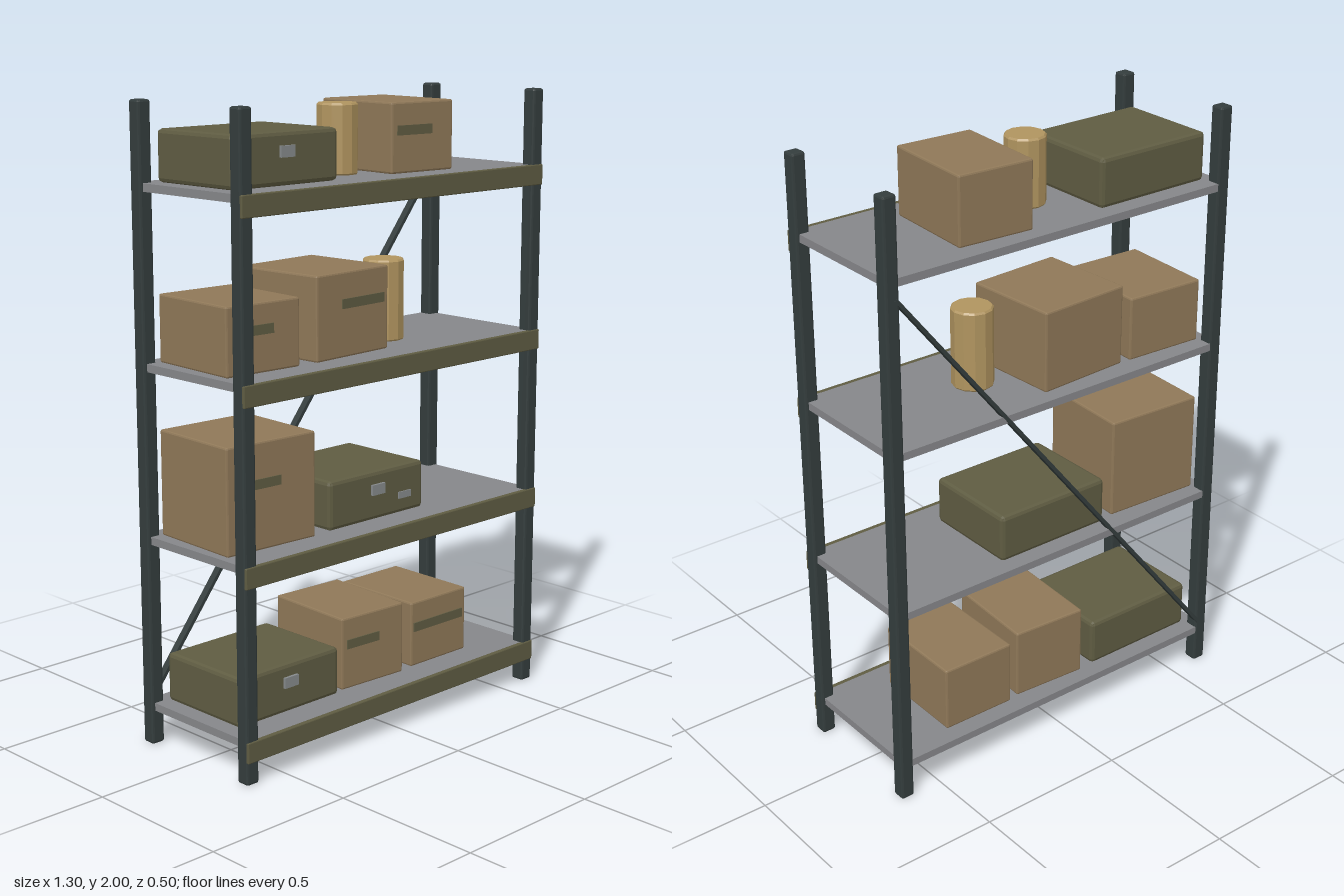
import * as THREE from 'three';
import { RoundedBoxGeometry } from 'three/addons/geometries/RoundedBoxGeometry.js';

const mat = (name, color) => {
  const m = new THREE.MeshStandardMaterial({ color });
  m.name = name;
  return m;
};

export function createModel() {
  const root = new THREE.Group();
  root.name = 'storageRack';

  const steel = mat('dark steel', 0x343d3d);
  const deck = mat('grey decking', 0x86878a);
  const olive = mat('olive paint', 0x5f5c42);
  const card = mat('cardboard', 0x8f7858);
  const tan = mat('tan canister', 0xb0945f);
  const latchGrey = mat('latch grey', 0x868a8c);

  const add = (parent, name, geo, material, x, y, z) => {
    const mesh = new THREE.Mesh(geo, material);
    mesh.name = name;
    mesh.position.set(x, y, z);
    parent.add(mesh);
    return mesh;
  };

  // box with flat chamfered edges
  const chamferBox = (w, h, d, r) => {
    const g = new RoundedBoxGeometry(w, h, d, 1, r);
    g.computeVertexNormals();
    return g;
  };

  // corner posts
  for (const sx of [-1, 1]) {
    for (const sz of [-1, 1]) {
      add(root, 'post', chamferBox(0.046, 2, 0.046, 0.007), steel, sx * 0.625, 1, sz * 0.223);
    }
  }

  // shelves, each with a front beam
  const tops = [0.136, 0.676, 1.216, 1.757];
  for (const y of tops) {
    add(root, 'shelfDeck', new THREE.BoxGeometry(1.274, 0.025, 0.488), deck, 0, y - 0.0125, 0);
    add(root, 'frontBeam', chamferBox(1.294, 0.066, 0.016, 0.003), olive, 0, y - 0.032, 0.242);
  }

  // diagonal back brace
  const from = new THREE.Vector2(-0.615, 0.155);
  const to = new THREE.Vector2(0.615, 1.695);
  const span = to.clone().sub(from);
  const brace = add(root, 'backBrace', new THREE.BoxGeometry(span.length(), 0.012, 0.024), steel, 0, (from.y + to.y) / 2, -0.235);
  brace.rotation.z = span.angle();

  // cardboard carton: left and right extents, height, turn and tape label [x0, x1, height above shelf]
  const carton = (shelf, x0, x1, h, turn, [l0, l1, ly]) => {
    const g = new THREE.Group();
    const d = 0.326;
    const w = x1 - x0 - d * Math.abs(Math.sin(turn));
    const cx = (x0 + x1) / 2;
    g.name = 'carton';
    g.position.set(cx, tops[shelf], -0.023);
    g.rotation.y = turn;
    add(g, 'cartonBody', chamferBox(w, h, d, 0.006), card, 0, h / 2, 0);
    const shift = Math.sin(turn) * d / 2;
    add(g, 'tapeLabel', new THREE.BoxGeometry(l1 - l0, 0.03, 0.006), olive, (l0 + l1) / 2 - cx - shift, ly, d / 2 + 0.001);
    root.add(g);
  };
  carton(0, -0.145, 0.135, 0.237, -0.06, [-0.125, 0.01, 0.149]);
  carton(0, 0.165, 0.425, 0.219, -0.01, [0.175, 0.405, 0.134]);
  carton(1, -0.615, -0.258, 0.334, -0.05, [-0.58, -0.41, 0.206]);
  carton(2, -0.61, -0.317, 0.21, -0.05, [-0.575, -0.435, 0.13]);
  carton(2, -0.285, 0.057, 0.264, 0.06, [-0.155, 0.035, 0.166]);
  carton(3, 0.068, 0.345, 0.218, -0.06, [0.09, 0.235, 0.132]);

  // olive storage cases with a front latch
  const storageCase = (shelf, x) => {
    const g = new THREE.Group();
    g.name = 'storageCase';
    g.position.set(x, tops[shelf], -0.023);
    add(g, 'caseBody', chamferBox(0.416, 0.158, 0.338, 0.013), olive, 0, 0.079, 0);
    add(g, 'latch', new THREE.BoxGeometry(0.056, 0.034, 0.012), latchGrey, 0, 0.1, 0.172);
    root.add(g);
    return g;
  };
  storageCase(0, -0.382);
  const tagged = storageCase(1, -0.003);
  add(tagged, 'tag', new THREE.BoxGeometry(0.056, 0.022, 0.006), latchGrey, 0.122, 0.06, 0.17);
  storageCase(3, -0.382);

  // twelve-sided canisters with a bevelled rim
  const canister = (shelf, x, r, h) => {
    const profile = [[0, 0], [r - 0.004, 0], [r, 0.005], [r, h - 0.006], [r - 0.005, h], [0, h]];
    const lathe = new THREE.LatheGeometry(profile.map(([a, b]) => new THREE.Vector2(a, b)), 12);
    const geo = lathe.toNonIndexed();
    geo.computeVertexNormals();
    add(root, 'canister', geo, tan, x, tops[shelf], 0);
  };
  canister(2, 0.168, 0.067, 0.26);
  canister(3, -0.036, 0.065, 0.218);

  return root;
}
